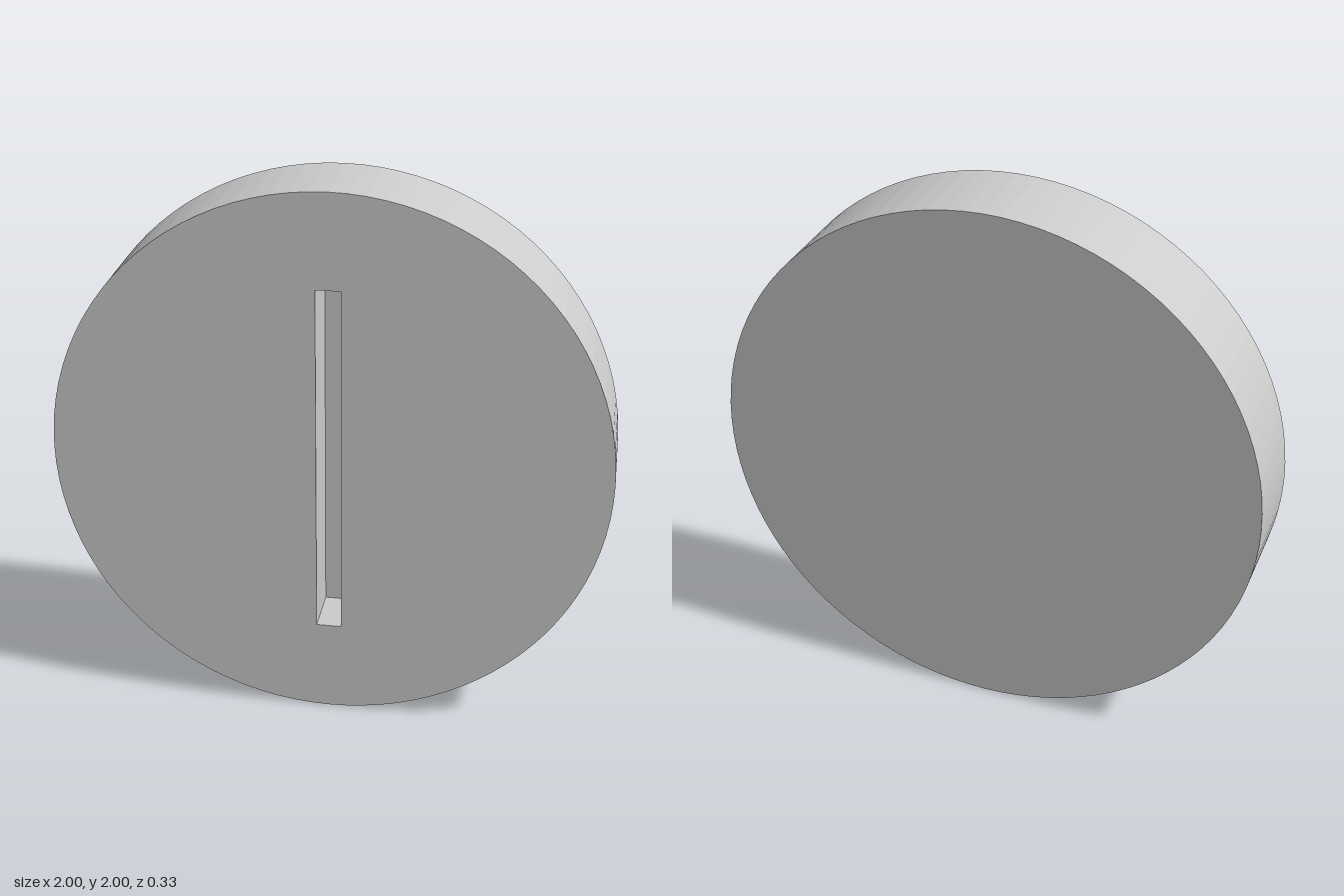
import * as THREE from 'three';
import { mergeGeometries } from 'three/addons/utils/BufferGeometryUtils.js';

const RADIUS = 1, HALF = 0.167, SIDES = 96;
const SLOT_W = 0.09, SLOT_H = 1.31, SLOT_D = 0.2;

export function createModel() {
  const group = new THREE.Group();
  group.name = 'slottedDisc';
  const material = new THREE.MeshStandardMaterial({ color: 0xcccccc, flatShading: true });
  const add = (name, geometry) => {
    const mesh = new THREE.Mesh(geometry, material);
    mesh.name = name;
    mesh.position.y = RADIUS;
    group.add(mesh);
  };

  // Front face, pierced by the slot opening
  const face = new THREE.Shape().absarc(0, 0, RADIUS, 0, Math.PI * 2);
  const w = SLOT_W / 2, h = SLOT_H / 2;
  face.holes.push(new THREE.Path([[-w, -h], [-w, h], [w, h], [w, -h]].map(p => new THREE.Vector2(...p))));
  const front = new THREE.ShapeGeometry(face, SIDES / 2).translate(0, 0, HALF);

  // Rim and closed back
  const rim = new THREE.CylinderGeometry(RADIUS, RADIUS, HALF * 2, SIDES, 1, true).rotateX(Math.PI / 2);
  const back = new THREE.CircleGeometry(RADIUS, SIDES).rotateY(Math.PI).translate(0, 0, -HALF);
  add('discBody', mergeGeometries([front, rim, back]));

  // Blind slot: four inward-facing walls and a floor
  const walls = [];
  for (const s of [-1, 1]) {
    walls.push(new THREE.PlaneGeometry(SLOT_D, SLOT_H).rotateY(-s * Math.PI / 2).translate(s * w, 0, HALF - SLOT_D / 2));
    walls.push(new THREE.PlaneGeometry(SLOT_W, SLOT_D).rotateX(s * Math.PI / 2).translate(0, s * h, HALF - SLOT_D / 2));
  }
  walls.push(new THREE.PlaneGeometry(SLOT_W, SLOT_H).translate(0, 0, HALF - SLOT_D));
  add('slot', mergeGeometries(walls));

  return group;
}
